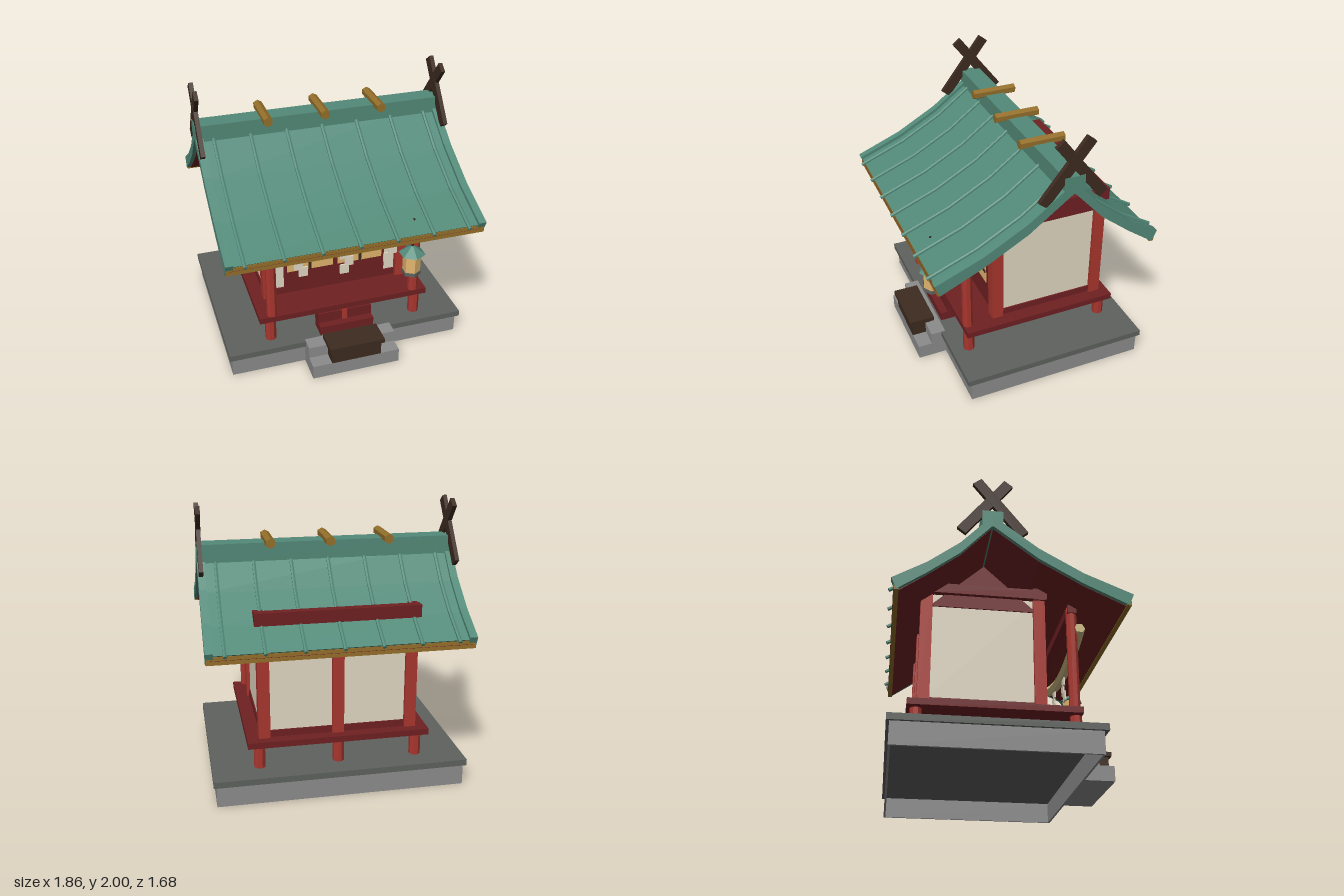
import * as THREE from 'three';

const mat = (name, color) => {
  const m = new THREE.MeshStandardMaterial({ color });
  m.name = name;
  m.flatShading = true;
  return m;
};

export function createModel() {
  const M = {
    red: mat('vermilion wood', 0xa9362e),
    dark: mat('dark red wood', 0x6f2022),
    cream: mat('plaster and paper', 0xe2d8c3),
    teal: mat('copper green roof', 0x538a79),
    gold: mat('gilded wood', 0x946f2a),
    brown: mat('dark brown wood', 0x3d2b20),
    stone: mat('light stone', 0x8c8c8c),
    slab: mat('dark stone', 0x5e625e),
    tan: mat('lit screen', 0xe2b66e),
    rope: mat('straw rope', 0xcfbd85),
  };
  const model = new THREE.Group();
  const add = (name, geo, m, x = 0, y = 0, z = 0) => {
    const mesh = new THREE.Mesh(geo, m);
    mesh.name = name;
    mesh.position.set(x, y, z);
    model.add(mesh);
    return mesh;
  };
  // box given by its limits on each axis
  const box = (name, m, x0, x1, y0, y1, z0, z1) =>
    add(name, new THREE.BoxGeometry(x1 - x0, y1 - y0, z1 - z0), m, (x0 + x1) / 2, (y0 + y1) / 2, (z0 + z1) / 2);
  // upright eight-sided post
  const post = (name, x, z, r, y0, y1) =>
    add(name, new THREE.CylinderGeometry(r, r, y1 - y0, 8).rotateY(Math.PI / 8), M.red, x, (y0 + y1) / 2, z);
  // upright square post
  const squarePost = (name, x, z, y0, y1) => box(name, M.red, x - 0.042, x + 0.042, y0, y1, z - 0.042, z + 0.042);
  // outline of [z, y] points extruded along x
  const slice = (name, m, pts, width, x = 0) => {
    const shape = new THREE.Shape(pts.map(([z, y]) => new THREE.Vector2(z, y)));
    const geo = new THREE.ExtrudeGeometry(shape, { depth: width, bevelEnabled: false });
    geo.translate(0, 0, -width / 2).rotateY(-Math.PI / 2);
    return add(name, geo, m, x);
  };

  // Stone platform, hollow underneath, and steps
  const t = 0.015;
  for (const s of [-1, 1])
    box('platformSide', M.stone, s * (0.89 - t / 2) - t / 2, s * (0.89 - t / 2) + t / 2, 0, 0.155, -0.78, 0.57);
  box('platformBack', M.stone, -0.89 + t, 0.89 - t, 0, 0.155, -0.78, -0.78 + t);
  box('platformFront', M.stone, -0.89 + t, 0.89 - t, 0, 0.155, 0.57 - t, 0.57);
  box('platformCap', M.slab, -0.91, 0.91, 0.155, 0.2, -0.8, 0.6);
  box('lowerStoneStep', M.stone, -0.335, 0.335, 0, 0.11, 0.57, 0.785);
  box('upperStoneStep', M.stone, -0.335, 0.335, 0.11, 0.201, 0.57, 0.68);

  // Offering box
  box('offeringBox', M.brown, -0.19, 0.19, 0.11, 0.225, 0.635, 0.787);
  box('offeringBoxLid', M.brown, -0.21, 0.21, 0.222, 0.255, 0.615, 0.805);

  // Wooden stairs and raised deck
  box('lowerWoodStep', M.dark, -0.21, 0.21, 0.2, 0.27, 0.42, 0.557);
  box('upperWoodStep', M.dark, -0.21, 0.21, 0.27, 0.35, 0.42, 0.5);
  box('deck', M.dark, -0.655, 0.655, 0.365, 0.41, -0.674, 0.504);
  for (const x of [-0.57, 0, 0.57])
    for (const z of [-0.612, 0.467]) post('deckPost', x, z, 0.042, 0.2, 0.366);

  // Porch posts and beam
  for (const x of [-0.555, 0.555]) post('porchPost', x, 0.467, 0.039, 0.41, 1.2);
  box('porchBeam', M.dark, -0.6, 0.6, 1.15, 1.213, 0.435, 0.5);

  // Hall frame, side walls and gables
  for (const s of [-1, 1]) {
    const x = 0.53 * s;
    squarePost('frontCornerPost', x, 0.233, 0.41, 1.33);
    squarePost('backCornerPost', x, -0.567, 0.41, 1.3);
    box('sideWall', M.cream, x - 0.015, x + 0.015, 0.44, 1.26, -0.56, 0.23);
    box('sideSill', M.dark, x - 0.025, x + 0.025, 0.41, 0.46, -0.56, 0.23);
    box('sideBeam', M.dark, s * 0.55 - 0.035, s * 0.55 + 0.035, 1.25, 1.325, -0.62, 0.29);
    slice('gable', M.dark, [[0.215, 1.155], [-0.545, 1.155], [-0.165, 1.505]], 0.05, x);
  }
  box('frontTopBeam', M.dark, -0.585, 0.585, 1.245, 1.335, 0.19, 0.28);
  box('backTopBeam', M.dark, -0.585, 0.585, 1.245, 1.335, -0.626, -0.56);
  squarePost('backMiddlePost', 0, -0.567, 0.41, 1.25);
  box('backWall', M.cream, -0.53, 0.53, 0.44, 1.26, -0.582, -0.552);
  box('backSill', M.dark, -0.53, 0.53, 0.41, 0.46, -0.592, -0.542);
  box('backLintel', M.dark, -0.53, 0.53, 1.18, 1.26, -0.592, -0.542);

  // Front wall with lattice doors
  box('frontWall', M.cream, -0.53, 0.53, 0.44, 1.02, 0.205, 0.23);
  box('frontSill', M.dark, -0.53, 0.53, 0.41, 0.46, 0.2, 0.245);
  box('frontLintel', M.dark, -0.53, 0.53, 1.0, 1.25, 0.2, 0.255);
  box('doorBack', M.dark, -0.4, 0.4, 0.46, 1.0, 0.22, 0.245);
  for (const s of [-1, 1]) {
    const x0 = s * 0.197 - 0.18, x1 = s * 0.197 + 0.18;
    box('doorScreen', M.tan, x0, x1, 0.6, 1.0, 0.245, 0.25);
    box('latticeUpright', M.brown, s * 0.2 - 0.01, s * 0.2 + 0.01, 0.6, 1.0, 0.25, 0.258);
    for (const y of [0.7, 0.8, 0.9]) box('latticeBar', M.brown, x0, x1, y - 0.01, y + 0.01, 0.25, 0.257);
  }
  box('doorMiddleStile', M.dark, -0.017, 0.017, 0.6, 1.0, 0.245, 0.26);

  // Curved roof: every layer follows the same profile with its own offsets
  const profile = [[0.805, 1.12], [0.48, 1.252], [0.17, 1.425], [-0.15, 1.665], [-0.37, 1.425], [-0.59, 1.252], [-0.805, 1.12]];
  const sideOf = (i) => (i === 0 ? 1 : i === 6 ? -1 : 0);
  const extended = (reach) =>
    profile.map(([z, y], i) => [z + sideOf(i) * reach, y - Math.abs(sideOf(i)) * reach * 0.4]);
  const layer = (name, m, top, bottom, width, x = 0, reach = 0) => {
    const p = extended(reach);
    const up = p.map(([z, y]) => [z, y + top]);
    const down = p.map(([z, y], i) => [z - sideOf(i) * 0.035, y + bottom]).reverse();
    return slice(name, m, [...up, ...down], width, x);
  };
  layer('roofTop', M.teal, 0, -0.035, 1.8);
  layer('roofUnderside', M.dark, -0.035, -0.06, 1.8);
  for (const s of [-1, 1]) {
    layer('bargeBoard', M.teal, 0.026, -0.058, 0.055, s * 0.9025, 0.016);
    box('eaveFascia', M.gold, -0.925, 0.925, 1.055, 1.112, s * 0.786 - 0.017, s * 0.786 + 0.017);
  }
  box('ridgeCap', M.teal, -0.93, 0.93, 1.6, 1.73, -0.223, -0.076);

  // Six-sided battens running down both slopes
  const ribPath = extended(0.028).map(([z, y]) => new THREE.Vector3(0, y + 0.006, z));
  for (let i = -3; i <= 3; i++)
    for (let k = 0; k < 6; k++) {
      const a = ribPath[k], b = ribPath[k + 1];
      const geo = new THREE.CylinderGeometry(0.014, 0.014, a.distanceTo(b), 6);
      const rib = add('roofRib', geo, M.teal, i * 0.267, (a.y + b.y) / 2, (a.z + b.z) / 2);
      rib.rotation.x = Math.atan2(a.z - b.z, a.y - b.y);
    }

  // Ridge logs and crossed finials
  for (const x of [-0.424, 0, 0.424])
    add('ridgeLog', new THREE.CylinderGeometry(0.036, 0.036, 0.335, 6).rotateX(Math.PI / 2), M.gold, x, 1.74, -0.15);
  for (const x of [-0.91, 0.91])
    for (const s of [-1, 1]) {
      const geo = new THREE.BoxGeometry(0.031 - s * 0.001, 0.535, 0.076);
      const w = add('crossedFinial', geo, M.brown, x, 1.767, -0.148 - s * 0.053);
      w.rotation.x = s * 0.664;
    }

  // Sagging rope with folded paper streamers
  const ropeY = (x) => 0.925 + 0.11 * (x / 0.585) ** 2;
  const ropePts = [];
  for (let i = -6; i <= 6; i++) ropePts.push(new THREE.Vector3(i * 0.0975, ropeY(i * 0.0975), 0.52));
  add('rope', new THREE.TubeGeometry(new THREE.CatmullRomCurve3(ropePts), 18, 0.04, 6), M.rope);
  for (const s of [-1, 1]) {
    const cap = add('ropeEnd', new THREE.CircleGeometry(0.04, 6), M.rope, s * 0.585, ropeY(0.585), 0.52);
    cap.rotation.y = s * Math.PI / 2;
  }
  for (const x of [-0.345, 0, 0.335])
    for (let i = 0; i < 3; i++) {
      const cx = x + (i % 2 ? 0.018 : -0.018) * (x < 0 ? -1 : 1);
      const y = ropeY(x) - 0.055 - i * 0.062;
      box('paperStreamer', M.cream, cx - 0.033, cx + 0.033, y - 0.038, y + 0.038, 0.514 + i * 0.002, 0.526 + i * 0.002);
    }

  // Hanging six-sided lantern
  const hex = (name, m, r0, r1, y0, y1) =>
    add(name, new THREE.CylinderGeometry(r1, r0, y1 - y0, 6), m, 0.44, (y0 + y1) / 2, 0.68);
  hex('lanternBase', M.slab, 0.07, 0.07, 0.722, 0.75);
  hex('lanternBody', M.tan, 0.065, 0.065, 0.75, 0.89);
  hex('lanternRoof', M.teal, 0.097, 0.012, 0.89, 0.952);
  hex('lanternRod', M.brown, 0.008, 0.008, 0.95, 1.178);
  return model;
}
